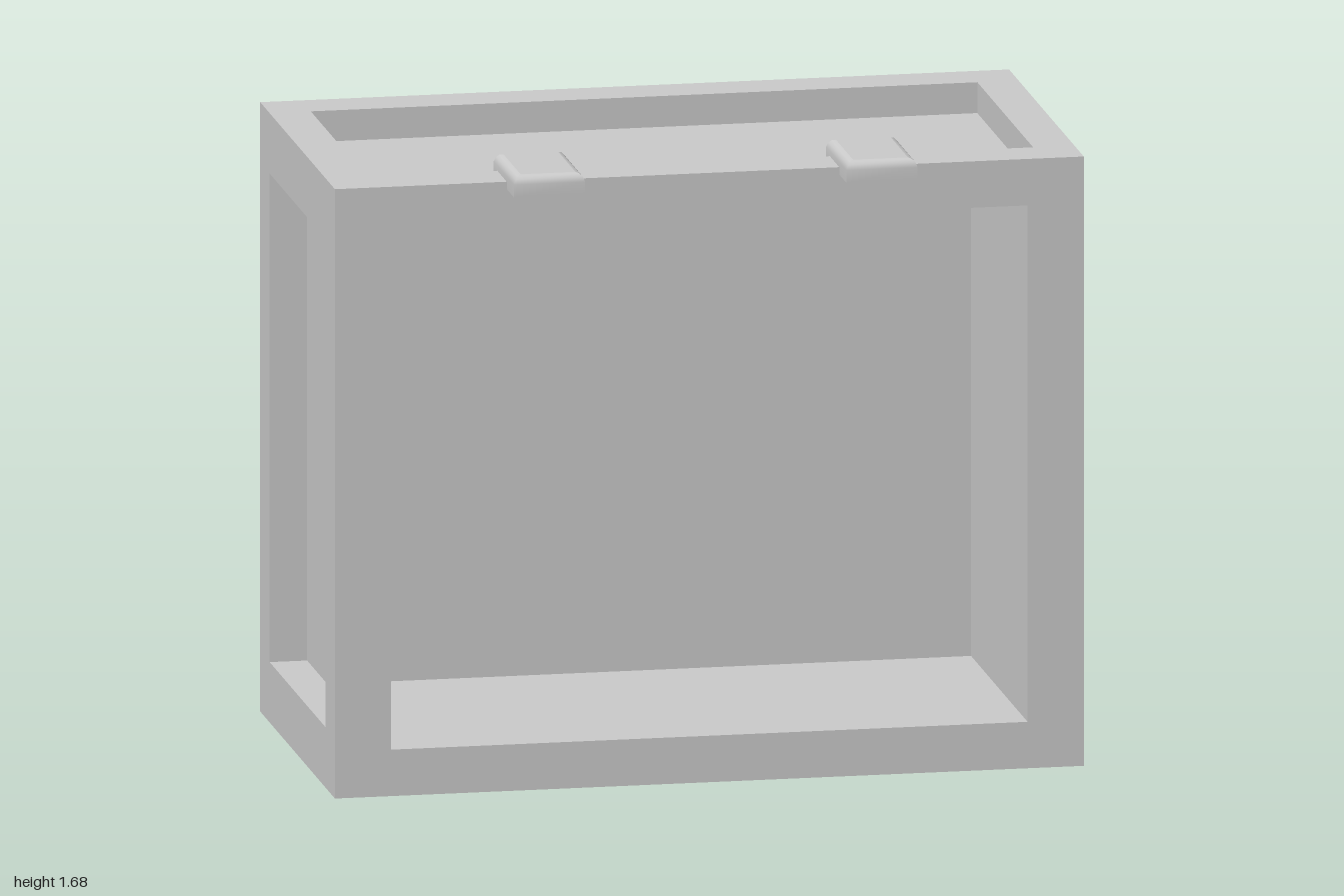
import * as THREE from 'three';

const W = 2, H = 1.64, D = 1.03;        // overall cabinet
const SIDE = 0.1, CAP = 0.083;          // recess depths on sides and on top/bottom
const BACK = 0.25;                      // back wall thickness

const material = new THREE.MeshStandardMaterial({ color: 0xcccccc });

function add(parent, name, geometry, x = 0, y = 0, z = 0) {
  const mesh = new THREE.Mesh(geometry, material);
  mesh.name = name;
  mesh.position.set(x, y, z);
  parent.add(mesh);
  return mesh;
}

function rectangle(path, w, h) {
  path.moveTo(-w / 2, -h / 2);
  path.lineTo(w / 2, -h / 2);
  path.lineTo(w / 2, h / 2);
  path.lineTo(-w / 2, h / 2);
  path.closePath();
  return path;
}

// Rectangular frame with a rectangular hole, centred on its own middle
function frame(w, h, holeW, holeH, depth) {
  const shape = rectangle(new THREE.Shape(), w, h);
  shape.holes.push(rectangle(new THREE.Path(), holeW, holeH));
  return new THREE.ExtrudeGeometry(shape, { depth, bevelEnabled: false }).translate(0, 0, -depth / 2);
}

// Flat clip with a softly rounded top edge
function clipGeometry(w, h, d) {
  const rings = [[0, 0], [0, 0.6], [0.005, 0.82], [0.012, 0.95], [0.022, 1]]; // inset, height
  const geometry = new THREE.BoxGeometry(w, h, d, 1, rings.length - 1, 1);
  const p = geometry.attributes.position;
  for (let i = 0; i < p.count; i++) {
    const [inset, level] = rings[Math.round((p.getY(i) / h + 0.5) * (rings.length - 1))];
    p.setXYZ(i,
      p.getX(i) - Math.sign(p.getX(i)) * inset,
      level * h,
      p.getZ(i) - Math.sign(p.getZ(i)) * inset);
  }
  geometry.computeVertexNormals();
  return geometry;
}

export function createModel() {
  const model = new THREE.Group();
  model.name = 'cabinet';

  const body = new THREE.Group();
  body.name = 'body';
  body.position.set(0, H / 2, -0.05);
  model.add(body);

  const coreW = W - 2 * SIDE, coreH = H - 2 * CAP;

  // Inner walls around the open front, and the thick back wall
  add(body, 'innerWalls', frame(coreW, coreH, 1.7, 1.39, D - BACK), 0, 0, BACK / 2);
  add(body, 'backWall', new THREE.BoxGeometry(coreW, coreH, BACK), 0, 0, (BACK - D) / 2);

  // Raised rims that leave the recessed panels on the four sides
  for (const s of [1, -1]) {
    const cap = frame(W, D, 1.78, 0.77, CAP).rotateX(-Math.PI / 2);
    add(body, s > 0 ? 'topRim' : 'bottomRim', cap, 0, s * (H - CAP) / 2, 0);
    const side = frame(D, coreH, 0.77, 1.315, SIDE).rotateY(Math.PI / 2);
    add(body, s > 0 ? 'leftRim' : 'rightRim', side, s * (W - SIDE) / 2, 0, 0);
  }

  // Two clips overhanging the top front edge
  const clip = clipGeometry(0.19, 0.057, 0.28);
  add(model, 'leftClip', clip, 0.442, 1.62, 0.425);
  add(model, 'rightClip', clip, -0.446, 1.62, 0.425);

  return model;
}
